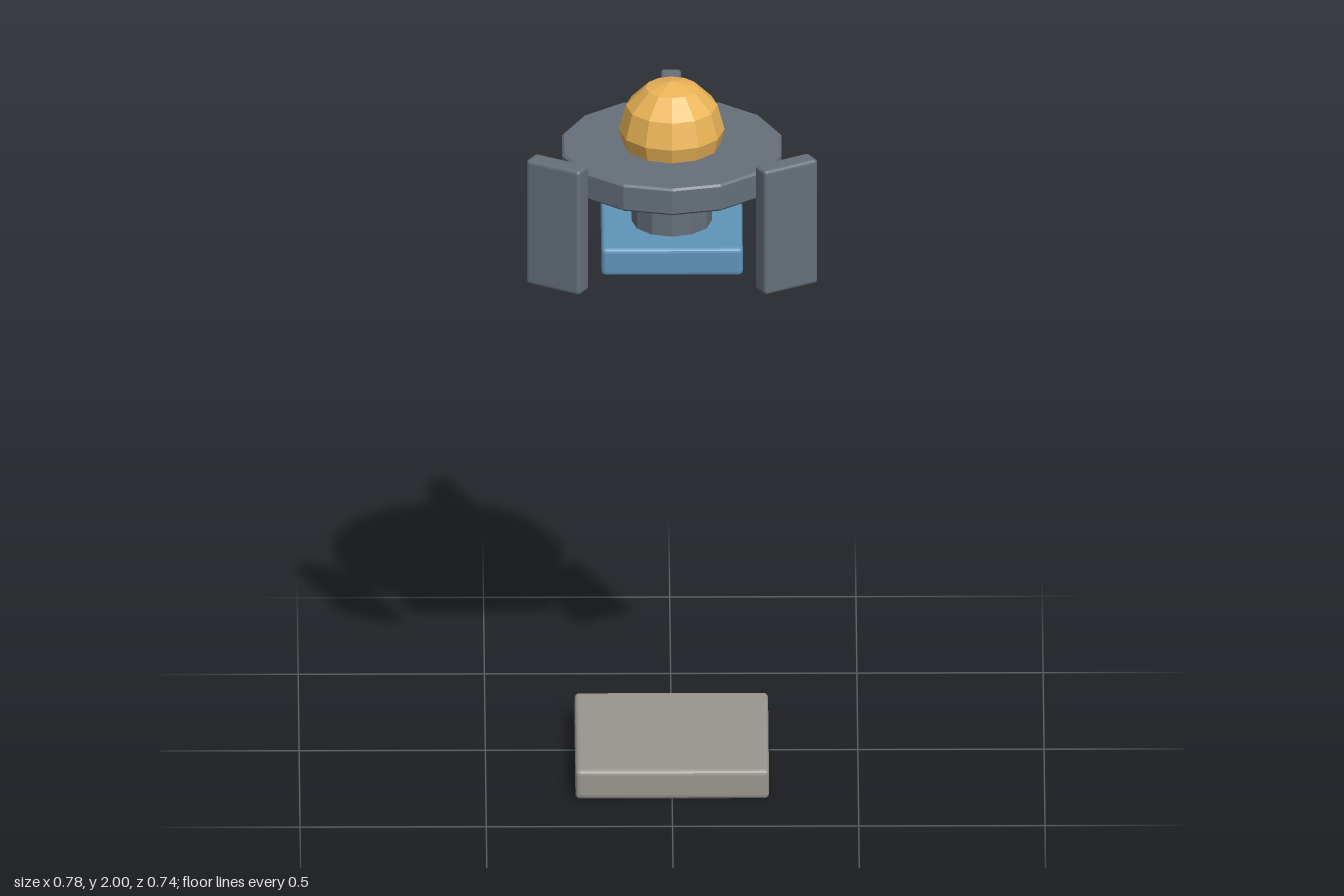
import * as THREE from 'three';
import { RoundedBoxGeometry } from 'three/addons/geometries/RoundedBoxGeometry.js';

const CZ = 0.067; // z of the shared vertical axis

const material = (color) => new THREE.MeshStandardMaterial({ color, flatShading: true });

function addMesh(parent, name, geometry, mat, x, y, z) {
  const mesh = new THREE.Mesh(geometry, mat);
  mesh.name = name;
  mesh.position.set(x, y, z);
  parent.add(mesh);
  return mesh;
}

// Box with softened edges
const softBox = (w, h, d, r = 0.01) => new RoundedBoxGeometry(w, h, d, 2, r);

// Faceted cylinder with a small chamfer on both rims
function chamferedDisc(radius, height, sides, c) {
  const h = height / 2;
  const profile = [
    [0, -h], [radius - c, -h], [radius, -h + c],
    [radius, h - c], [radius - c, h], [0, h],
  ].map(([x, y]) => new THREE.Vector2(x, y));
  return new THREE.LatheGeometry(profile, sides);
}

export function createModel() {
  const model = new THREE.Group();
  model.name = 'hoveringDevice';
  const slate = material(0x66707a);
  const stone = material(0x98968d);
  const blue = material(0x5f95b8);
  const gold = material(0xebb456);

  // Ground slab, far below the hovering body
  addMesh(model, 'baseSlab', softBox(0.52, 0.085, 0.52, 0.013), stone, 0, 0.0425, CZ);

  // Hovering body
  const body = new THREE.Group();
  body.name = 'body';
  body.position.z = CZ;
  model.add(body);

  addMesh(body, 'lowerPlate', softBox(0.38, 0.08, 0.38, 0.012), blue, 0, 1.55, 0);
  addMesh(body, 'stem', chamferedDisc(0.108, 0.165, 12, 0.008), slate, 0, 1.655, 0);
  addMesh(body, 'disc', chamferedDisc(0.302, 0.078, 14, 0.006), slate, 0, 1.777, 0);
  addMesh(body, 'dome', new THREE.SphereGeometry(0.142, 12, 6), gold, 0, 1.858, 0);

  // Bracket joining the rear fin to the disc
  addMesh(body, 'rearBracket', softBox(0.08, 0.076, 0.16), slate, 0, 1.777, -0.297);

  // Three upright fins around the rim; the front pair is angled backwards
  const fin = softBox(0.055, 0.365, 0.166);
  const finRadius = 0.355;
  [['rearFin', 0], ['leftFin', 1], ['rightFin', -1]].forEach(([name, side]) => {
    const a = side * Math.PI * 2 / 3;
    const mesh = addMesh(body, name, fin, slate,
      Math.sin(a) * finRadius, 1.6575, -Math.cos(a) * finRadius);
    mesh.rotation.y = a;
  });

  return model;
}
